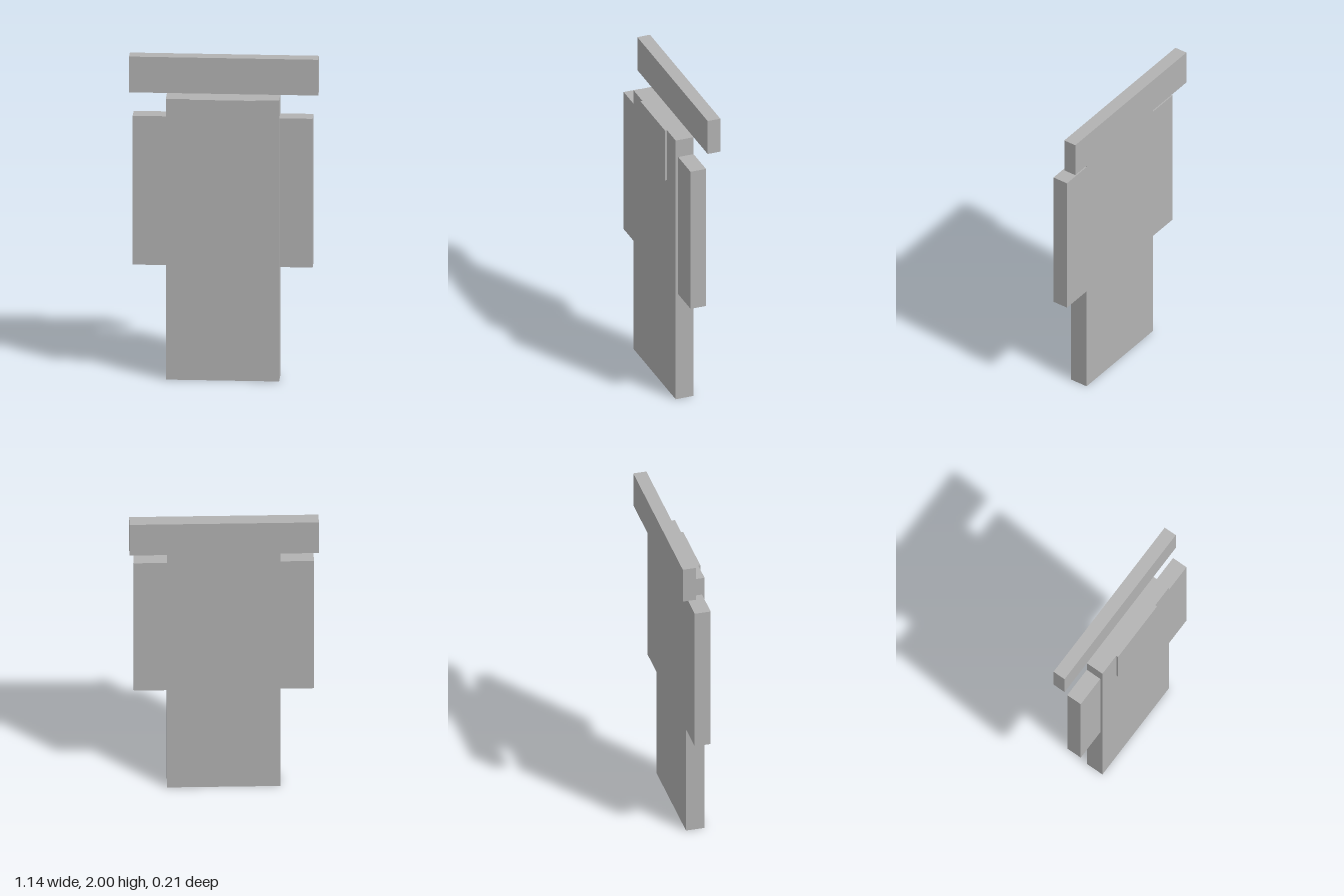
import * as THREE from 'three';

export function createModel() {
  const group = new THREE.Group();
  const grey = new THREE.MeshStandardMaterial({ color: 0xb2b2b2 });
  grey.name = 'plain grey';

  // Box given by its extents on each axis
  function addBox(name, [x0, x1], [y0, y1], [z0, z1]) {
    const mesh = new THREE.Mesh(new THREE.BoxGeometry(x1 - x0, y1 - y0, z1 - z0), grey);
    mesh.position.set((x0 + x1) / 2, (y0 + y1) / 2, (z0 + z1) / 2);
    mesh.name = name;
    group.add(mesh);
  }

  const back = -0.024; // shared rear plane of the body and side panels

  // Tall central slab
  addBox('body', [-0.342, 0.342], [0, 1.774], [back, 0.092]);

  // Slightly thinner panels on both sides, flush at the rear
  addBox('leftSidePanel', [0.342, 0.543], [0.718, 1.658], [back, 0.076]);
  addBox('rightSidePanel', [-0.543, -0.342], [0.718, 1.658], [back, 0.076]);

  // Thin raised plate at the top of the front
  addBox('frontPlate', [-0.2, 0.2], [1.432, 1.774], [0.092, 0.105]);

  // Crossbar above and behind the body
  addBox('topBar', [-0.571, 0.571], [1.774, 2], [-0.106, back]);

  return group;
}
